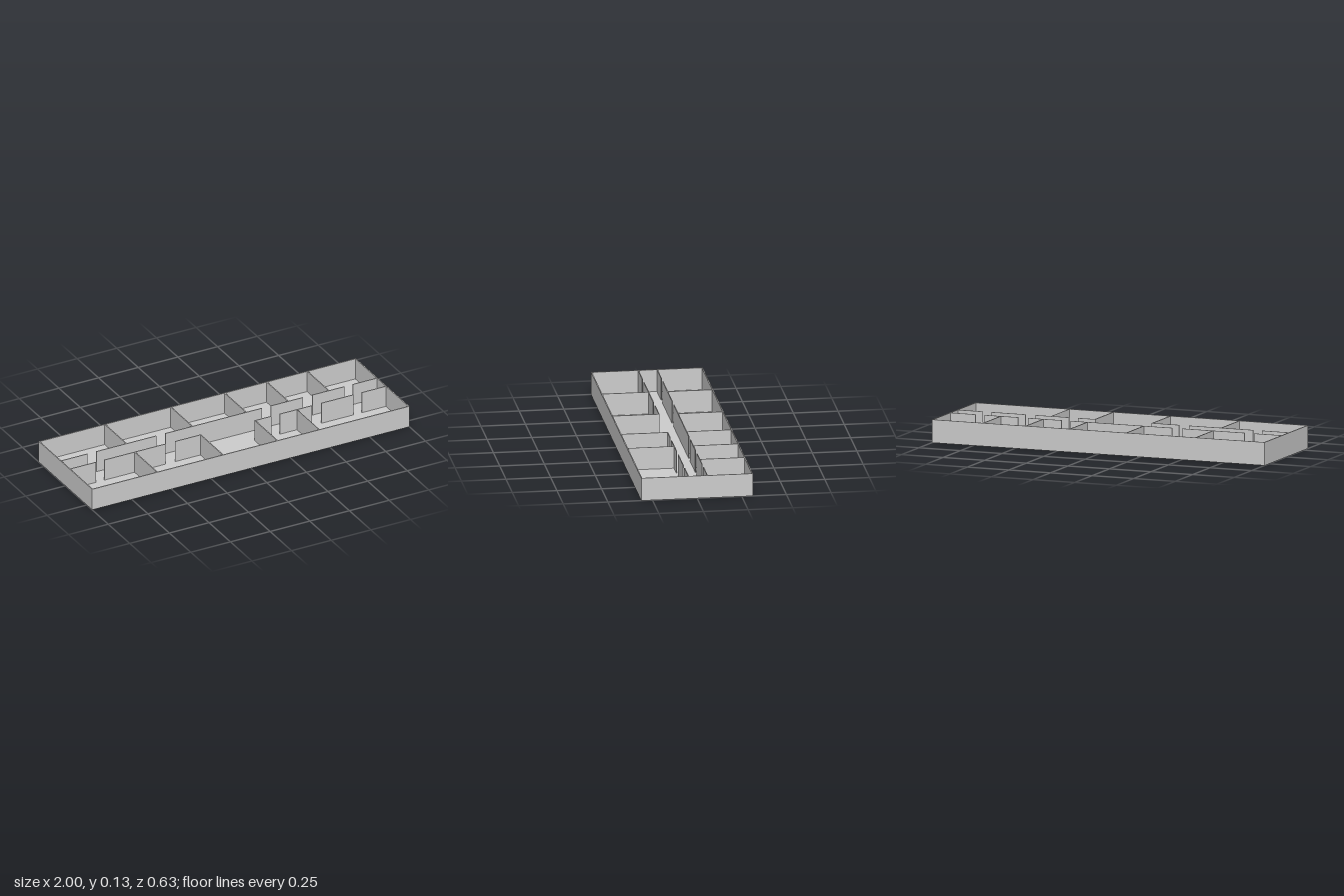
import * as THREE from 'three';

const W = 2, D = 0.626, H = 0.13, FLOOR = 0.003, T = 0.006;

export function createModel() {
  const model = new THREE.Group();
  model.name = 'floorPlan';
  const material = new THREE.MeshStandardMaterial({ color: 0xcccccc, flatShading: true });

  const addBox = (name, x0, x1, y0, y1, z0, z1) => {
    const mesh = new THREE.Mesh(new THREE.BoxGeometry(x1 - x0, y1 - y0, z1 - z0), material);
    mesh.position.set((x0 + x1) / 2, (y0 + y1) / 2, (z0 + z1) / 2);
    mesh.name = name;
    model.add(mesh);
  };
  const addWall = (name, x0, x1, z0, z1) => addBox(name, x0, x1, FLOOR, H, z0, z1);

  // Floor slab
  addBox('floor', -W / 2, W / 2, 0, FLOOR, -D / 2, D / 2);

  // Outer walls
  addWall('frontWall', -W / 2, W / 2, D / 2 - T, D / 2);
  addWall('backWall', -W / 2, W / 2, -D / 2, -D / 2 + T);
  for (const [name, x] of [['rightEndWall', -W / 2], ['leftEndWall', W / 2 - T]]) {
    addWall(name, x, x + T, -D / 2 + T, D / 2 - T);
  }

  // Corridor walls, broken by full-height doorways
  const half = 0.0025, backZ = -0.058, frontZ = 0.048, end = W / 2 - T;
  const backRuns = [[-end, -0.83], [-0.775, -0.397], [-0.338, 0.271],
    [0.325, 0.528], [0.587, 0.79], [0.843, end]];
  const frontRuns = [[-end, -0.835], [-0.78, -0.397], [-0.335, -0.172],
    [0.169, 0.271], [0.325, 0.528], [0.587, 0.79], [0.843, end]];
  for (const [a, b] of backRuns) addWall('backCorridorWall', a, b, backZ - half, backZ + half);
  for (const [a, b] of frontRuns) addWall('frontCorridorWall', a, b, frontZ - half, frontZ + half);

  // Room partitions between corridor and outer walls: [x, thickness]
  const backPartitions = [[-0.583, T], [-0.167, T], [0.172, T], [0.437, T], [0.693, T]];
  const frontPartitions = [[-0.588, T], [-0.173, T], [0.17, T], [0.434, 0.003]];
  for (const [x, t] of backPartitions) {
    addWall('backPartition', x - t / 2, x + t / 2, -D / 2 + T, backZ - half);
  }
  for (const [x, t] of frontPartitions) {
    addWall('frontPartition', x - t / 2, x + t / 2, frontZ - half, D / 2 - T);
  }
  return model;
}
